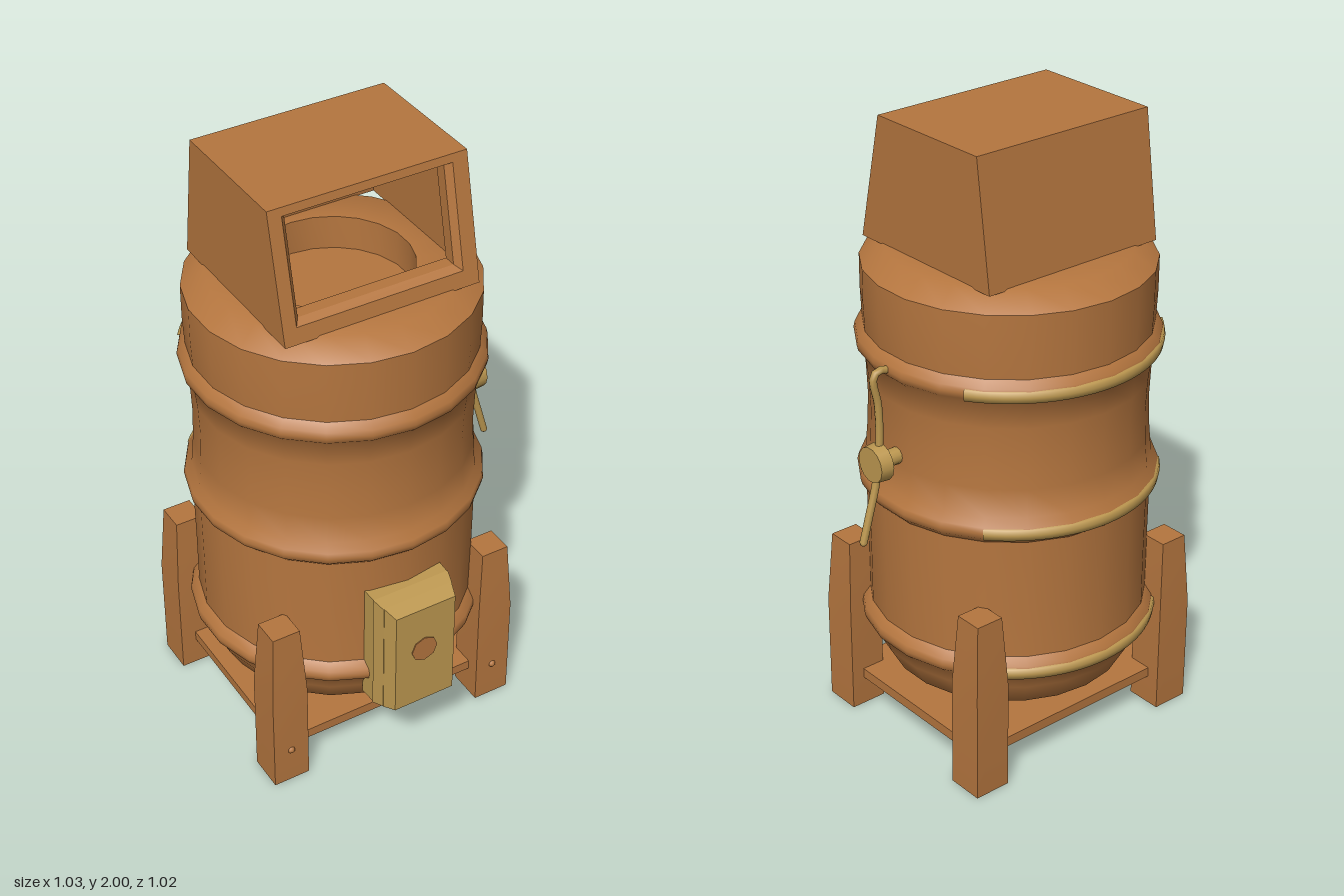
import * as THREE from 'three';
import { toCreasedNormals } from 'three/addons/utils/BufferGeometryUtils.js';

const CX = -0.05, CZ = -0.045; // barrel axis

export function createModel() {
  const root = new THREE.Group();
  root.name = 'hopperBarrel';
  const copper = new THREE.MeshStandardMaterial({ color: 0xb5763f, side: THREE.DoubleSide });
  copper.name = 'copper';
  const brass = new THREE.MeshStandardMaterial({ color: 0xbd9850 });
  brass.name = 'brass';

  const add = (name, geo, mat, x = 0, y = 0, z = 0) => {
    const m = new THREE.Mesh(geo, mat);
    m.name = name;
    m.position.set(x, y, z);
    root.add(m);
    return m;
  };
  const lathe = (pts, seg, start = 0, len = Math.PI * 2) =>
    new THREE.LatheGeometry(pts.map(p => new THREE.Vector2(...p)), seg, start, len);

  // Barrel with three raised hoops and a feed hole in the top
  const hoop = (y, r) => [[r, y - 0.04], [0.462, y - 0.018], [0.466, y], [0.462, y + 0.018], [r, y + 0.04]];
  const profile = [
    [0, 0.17], [0.2, 0.18], [0.33, 0.2], [0.38, 0.23], [0.425, 0.31],
    ...hoop(0.39, 0.438), [0.438, 0.6], ...hoop(0.87, 0.44),
    [0.432, 1.0], [0.428, 1.1], [0.432, 1.2], ...hoop(1.32, 0.44),
    [0.444, 1.45], [0.444, 1.56], [0.375, 1.61], [0.245, 1.61], [0.245, 1.5], [0, 1.5],
  ];
  add('barrel', toCreasedNormals(lathe(profile, 22), 0.75), copper, CX, 0, CZ);

  // Brass strips round the back of the hoops
  for (const [y, half] of [[0.385, 0.8], [0.868, 0.86], [1.315, 0.98]]) {
    const strip = [[0.45, y - 0.019], [0.466, y - 0.017], [0.469, y], [0.466, y + 0.017], [0.45, y + 0.019]];
    add('hoopStrip', lathe(strip, 24, Math.PI - half, half * 2), brass, CX, 0, CZ);
  }

  // Hopper: tapered hood with a framed opening in its sloping front
  const x0 = -0.378, x1 = 0.26, yb = 1.605, yt = 2;
  const frontZ = y => 0.258 - (y - yb) * 0.22;
  const rect = (a, b, c, d, dz) =>
    [[a, c], [b, c], [b, d], [a, d]].map(([x, y]) => [x, y, frontZ(y) + dz]);
  const rim = rect(x0, x1, yb, yt, 0);
  const mid = rect(-0.335, 0.21, 1.655, 1.975, 0);
  const lip = rect(-0.318, 0.192, 1.67, 1.967, -0.02);
  const inner = rect(-0.318, 0.192, 1.67, 1.967, -0.06);
  const back = [[x0, yb, -0.325], [x1, yb, -0.325], [x1, yt, -0.27], [x0, yt, -0.27]];
  const pos = [];
  const quad = (a, b, c, d) => pos.push(...a, ...b, ...c, ...a, ...c, ...d);
  const loft = (a, b) => {
    for (let i = 0; i < 4; i++) { const j = (i + 1) % 4; quad(a[i], a[j], b[j], b[i]); }
  };
  loft(rim, mid);
  loft(mid, lip);
  loft(lip, inner);
  for (const i of [1, 2, 3]) { const j = (i + 1) % 4; quad(back[i], back[j], rim[j], rim[i]); }
  quad(back[1], back[0], back[3], back[2]);
  const hood = new THREE.BufferGeometry();
  hood.setAttribute('position', new THREE.Float32BufferAttribute(pos, 3));
  hood.computeVertexNormals();
  add('hopper', hood, copper);

  // Legs, tapering towards the top
  for (const x of [-0.43, 0.323]) {
    for (const z of [-0.358, 0.27]) {
      const g = new THREE.BoxGeometry(0.122, 0.6, 0.12, 1, 2, 1);
      const p = g.attributes.position;
      for (let i = 0; i < p.count; i++) {
        const y = p.getY(i);
        const s = y > 0.2 ? 0.76 : 1;
        p.setXYZ(i, p.getX(i) * s, Math.abs(y) < 0.01 ? 0.06 : y, p.getZ(i) * s);
      }
      add('leg', toCreasedNormals(g.toNonIndexed(), 0.5), copper, x, 0.3, z);
    }
    // Bolt on each front leg
    add('bolt', new THREE.SphereGeometry(0.013, 8, 6), copper, x, 0.127, 0.327);
  }

  // Platform between the legs
  add('platform', new THREE.BoxGeometry(0.78, 0.033, 0.66), copper, CX, 0.115, CZ);

  // Ash door: two bevelled slabs with a round copper boss
  const slab = (w, h, d, taper) => {
    const g = new THREE.BoxGeometry(w, h, d);
    const p = g.attributes.position;
    for (let i = 0; i < p.count; i++) {
      if (p.getZ(i) < 0) continue;
      p.setX(i, p.getX(i) - Math.sign(p.getX(i)) * taper);
      p.setY(i, p.getY(i) - Math.sign(p.getY(i)) * taper);
    }
    g.computeVertexNormals();
    return g;
  };
  add('doorFrame', slab(0.264, 0.424, 0.06, 0.002), brass, -0.057, 0.502, 0.39);
  add('doorFrameBevel', slab(0.264, 0.424, 0.042, 0.012), brass, -0.057, 0.502, 0.441);
  add('doorPanel', slab(0.238, 0.405, 0.046, 0.015), brass, -0.057, 0.502, 0.484);
  const boss = add('doorBoss', new THREE.CylinderGeometry(0.045, 0.045, 0.008, 8), copper, -0.06, 0.527, 0.506);
  boss.rotation.x = Math.PI / 2;

  // Crank: axle, hub and bent lever on the side
  const axle = add('crankAxle', new THREE.CylinderGeometry(0.026, 0.026, 0.09, 12), brass, 0.405, 1.03, -0.04);
  const hub = add('crankHub', new THREE.CylinderGeometry(0.056, 0.06, 0.042, 14), brass, 0.454, 1.03, -0.04);
  axle.rotation.z = hub.rotation.z = -Math.PI / 2;
  const path = new THREE.CatmullRomCurve3([
    [0.385, 1.315], [0.44, 1.325], [0.457, 1.305], [0.442, 1.22], [0.44, 1.1],
    [0.455, 0.97], [0.485, 0.86], [0.508, 0.78],
  ].map(([x, y]) => new THREE.Vector3(x, y, -0.04)));
  add('crankLever', new THREE.TubeGeometry(path, 28, 0.012, 8), brass);
  add('leverTip', new THREE.SphereGeometry(0.012, 8, 6), brass, 0.508, 0.78, -0.04);

  return root;
}
